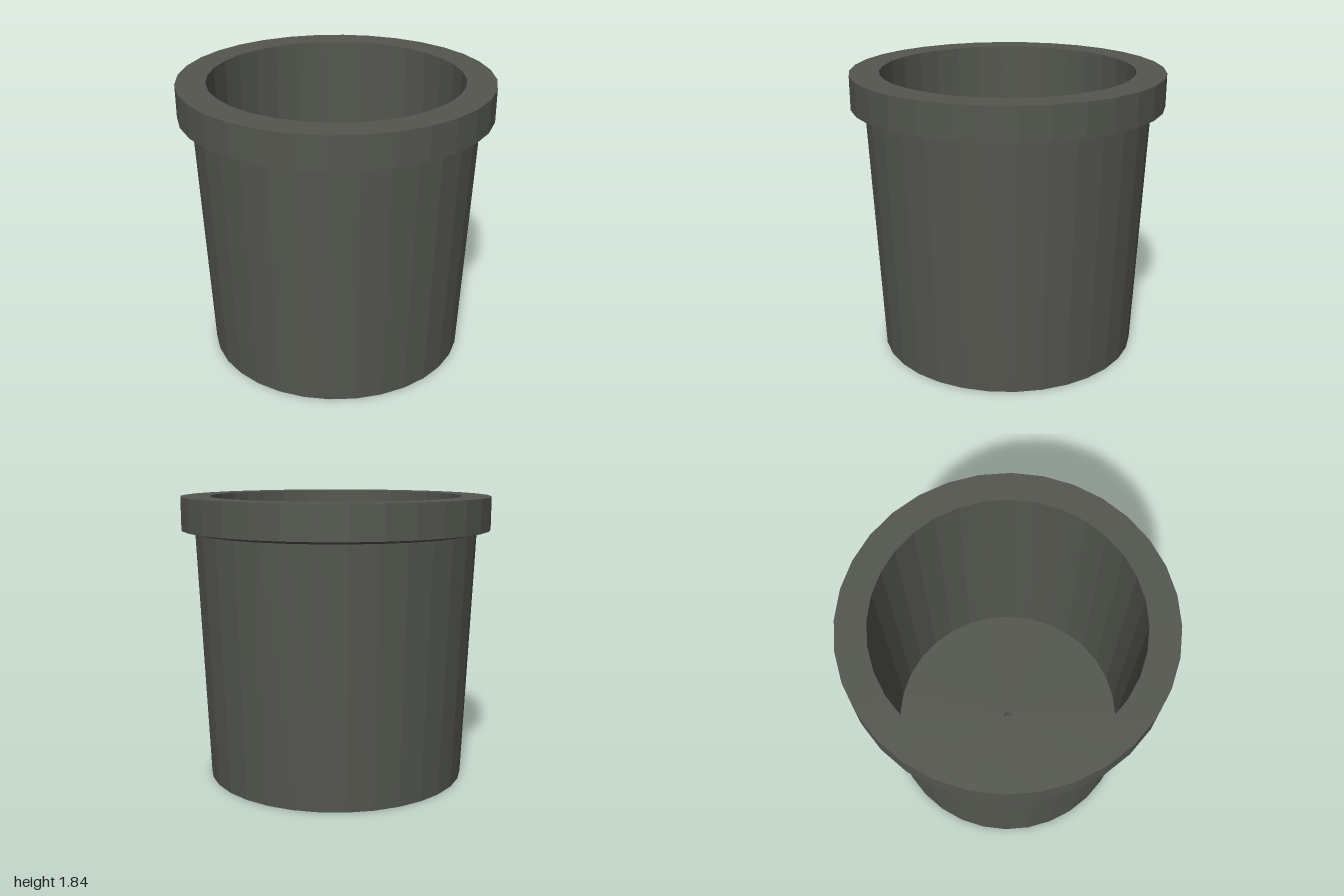
import * as THREE from 'three';

const SIDES = 32;

// Faceted ring or shell turned from a [radius, height] profile
function turned(name, profile, material) {
  const points = profile.map(([r, y]) => new THREE.Vector2(r, y));
  const mesh = new THREE.Mesh(new THREE.LatheGeometry(points, SIDES), material);
  mesh.name = name;
  return mesh;
}

export function createModel() {
  const group = new THREE.Group();
  group.name = 'pot';
  const material = new THREE.MeshStandardMaterial({ color: 0x54564f, flatShading: true });

  // Closed base and tapering outer wall
  group.add(turned('outerWall', [[0, 0], [0.845, 0], [0.912, 1.61]], material));

  // Overhanging rim with a slightly sloped underside
  group.add(turned('rim', [[0.912, 1.61], [1, 1.63], [1, 1.84], [0.812, 1.84]], material));

  // Straight inner wall, floor and small centre dimple
  group.add(turned('innerWall', [[0.812, 1.84], [0.812, 0.1]], material));
  group.add(turned('floor', [[0.812, 0.1], [0.025, 0.1], [0.025, 0.03], [0, 0.03]], material));

  return group;
}
